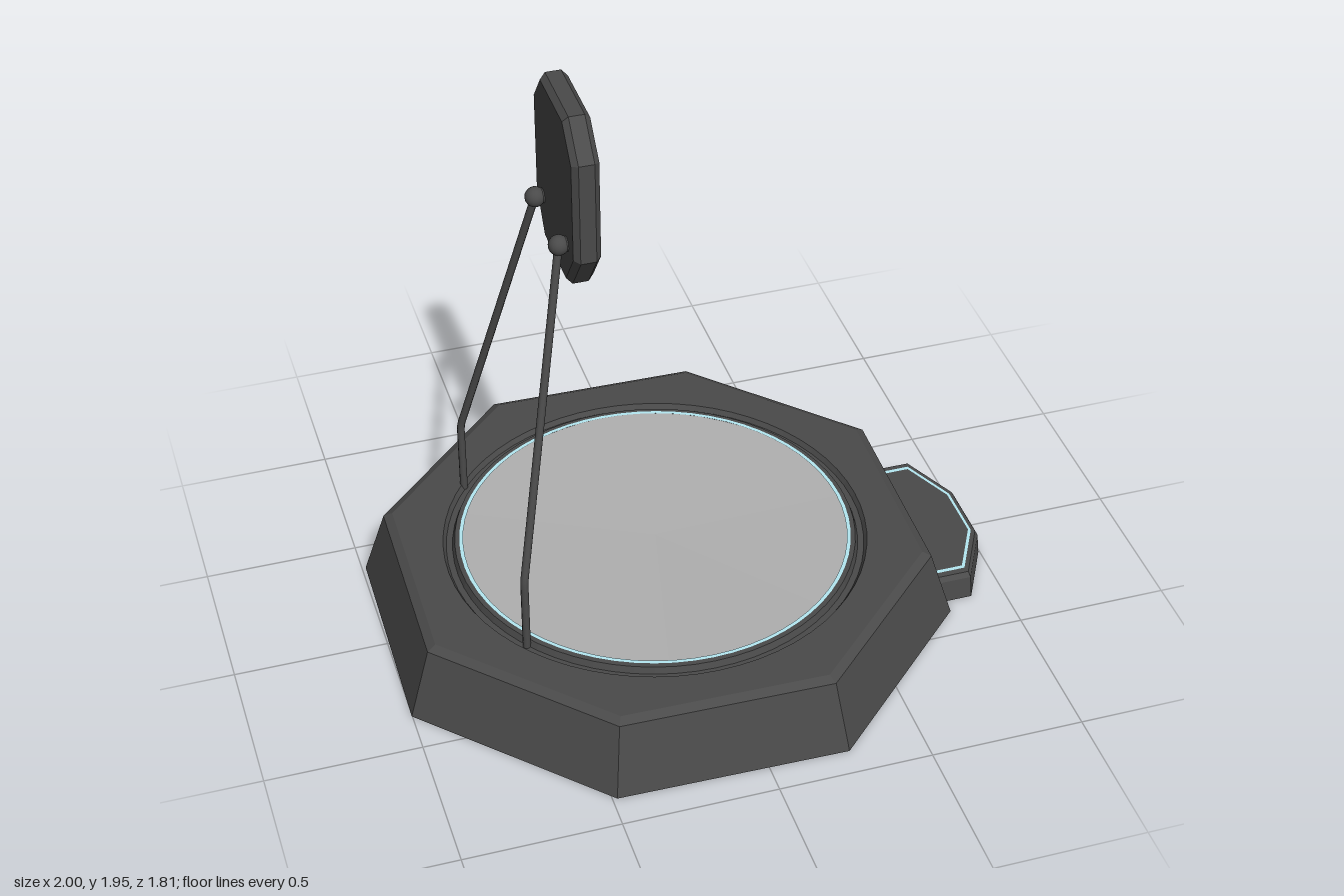
import * as THREE from 'three';

const DARK = new THREE.MeshStandardMaterial({ color: 0x4a4a4a, flatShading: true });
const SMOOTH = new THREE.MeshStandardMaterial({ color: 0x4a4a4a });
const GLASS = new THREE.MeshStandardMaterial({ color: 0xb0b0b0, flatShading: true });
const GLOW = new THREE.MeshStandardMaterial({ color: 0xb4e8f2, side: THREE.DoubleSide });

const CX = -0.095; // centre of the base along x

function add(parent, name, geometry, material) {
  const mesh = new THREE.Mesh(geometry, material);
  mesh.name = name;
  parent.add(mesh);
  return mesh;
}

// Solid from stacked convex rings of [x, y, z], anticlockwise seen from above
function loft(rings) {
  const n = rings[0].length, index = [];
  for (let r = 0; r < rings.length - 1; r++) {
    for (let i = 0; i < n; i++) {
      const a = r * n + i, b = r * n + (i + 1) % n;
      index.push(a, b, b + n, a, b + n, a + n);
    }
  }
  const top = (rings.length - 1) * n;
  for (let i = 1; i < n - 1; i++) index.push(0, i + 1, i, top, top + i, top + i + 1);
  const g = new THREE.BufferGeometry();
  g.setAttribute('position', new THREE.Float32BufferAttribute(rings.flat(2), 3));
  g.setIndex(index);
  g.computeVertexNormals();
  return g;
}

const lathe = (points, segments, start = 0) =>
  new THREE.LatheGeometry(points.map(p => new THREE.Vector2(...p)), segments, start);

function makeBase() {
  const base = new THREE.Group();
  base.name = 'base';
  base.position.x = CX;

  // Eight-sided body with sloped walls and a chamfered upper edge
  const turn = THREE.MathUtils.degToRad(21.4);
  add(base, 'baseBody', lathe([[0, 0], [0.974, 0], [0.9, 0.23], [0.87, 0.245]], 8, turn), DARK);

  // Top face with a round opening
  const top = new THREE.Shape();
  for (let i = 0; i < 8; i++) {
    const a = turn + i * Math.PI / 4;
    top[i ? 'lineTo' : 'moveTo'](0.87 * Math.sin(a), -0.87 * Math.cos(a));
  }
  top.closePath();
  top.holes.push(new THREE.Path().absarc(0, 0, 0.69, 0, Math.PI * 2, true));
  const topGeo = new THREE.ShapeGeometry(top, 32);
  topGeo.rotateX(-Math.PI / 2).translate(0, 0.245, 0);
  add(base, 'baseTop', topGeo, DARK);

  // Groove and raised lip around the plate
  add(base, 'plateGroove', lathe(
    [[0.69, 0.245], [0.68, 0.228], [0.66, 0.228], [0.652, 0.25], [0.63, 0.25], [0.63, 0.2]], 64), DARK);

  // Slightly dished plate made of flat facets
  const plate = new THREE.CircleGeometry(0.63, 56);
  plate.rotateX(-Math.PI / 2);
  const p = plate.attributes.position, sector = Math.PI * 2 / 7;
  for (let i = 0; i < p.count; i++) {
    const r = Math.hypot(p.getX(i), p.getZ(i));
    const a = Math.atan2(-p.getZ(i), p.getX(i)) + Math.PI * 2;
    p.setY(i, 0.236 + 0.02 * r * Math.cos(a % sector - sector / 2));
  }
  add(base, 'plate', plate, GLASS);

  const rim = new THREE.RingGeometry(0.625, 0.637, 64);
  rim.rotateX(-Math.PI / 2).translate(0, 0.252, 0);
  add(base, 'plateLightRing', rim, GLOW);
  return base;
}

function makeTab() {
  const tab = new THREE.Group();
  tab.name = 'sideTab';
  tab.position.set(0.79, 0, 0.02);
  const outline = [[-0.09, 0.32], [0.1, 0.32], [0.205, 0.12], [0.205, -0.11], [0.11, -0.315], [-0.09, -0.315]];
  const ring = (s, y) => outline.map(([x, z]) => [x * s, y, z * s]);
  add(tab, 'tabBody', loft([ring(1, 0), ring(0.97, 0.075), ring(0.93, 0.09)]), DARK);

  // Thin light strip following the outline
  const path = [...ring(0.87, 0), ...ring(0.83, 0).reverse()];
  const strip = new THREE.ShapeGeometry(new THREE.Shape(path.map(([x, , z]) => new THREE.Vector2(x, -z))));
  strip.rotateX(-Math.PI / 2).translate(0, 0.092, 0);
  add(tab, 'tabLightStrip', strip, GLOW);
  return tab;
}

function makePanel() {
  // Upright plate with clipped corners and bevelled edges
  const bevel = 0.018;
  const shape = new THREE.Shape([
    [-0.105, 1.365], [0.155, 1.365], [0.245, 1.5], [0.245, 1.84],
    [0.155, 1.95], [-0.105, 1.95], [-0.205, 1.84], [-0.205, 1.5],
  ].map(q => new THREE.Vector2(...q)));
  const g = new THREE.ExtrudeGeometry(shape, {
    depth: 0.085 - 2 * bevel, bevelThickness: bevel, bevelSize: bevel,
    bevelOffset: -bevel, bevelSegments: 1,
  });
  g.rotateY(Math.PI / 2).translate(-0.395 + bevel, 0, 0);
  const mesh = new THREE.Mesh(g, DARK);
  mesh.name = 'panel';
  return mesh;
}

function makeSupport(side) {
  const support = new THREE.Group();
  support.name = side > 0 ? 'frontSupport' : 'rearSupport';
  support.position.z = -0.02;
  const foot = new THREE.Vector3(-0.63, 0.22, side * 0.41);
  const bend = new THREE.Vector3(-0.63, 0.49, side * 0.41);
  const joint = new THREE.Vector3(-0.42, 1.52, side * 0.135);

  // Bent rod
  const path = new THREE.CurvePath();
  const lower = bend.clone().lerp(foot, 0.08), upper = bend.clone().lerp(joint, 0.02);
  path.add(new THREE.LineCurve3(foot, lower));
  path.add(new THREE.QuadraticBezierCurve3(lower, bend, upper));
  path.add(new THREE.LineCurve3(upper, joint));
  add(support, 'rod', new THREE.TubeGeometry(path, 80, 0.0125, 10), SMOOTH);

  // Ball joint and its stub on the panel
  add(support, 'ballJoint', new THREE.SphereGeometry(0.032, 16, 12), SMOOTH).position.copy(joint);
  const stub = add(support, 'jointStub', new THREE.CylinderGeometry(0.024, 0.024, 0.05, 16), SMOOTH);
  stub.rotation.z = Math.PI / 2;
  stub.position.set(-0.4, joint.y, joint.z);
  return support;
}

export function createModel() {
  const model = new THREE.Group();
  model.name = 'platformWithPanel';
  model.add(makeBase(), makeTab(), makePanel(), makeSupport(1), makeSupport(-1));
  return model;
}
